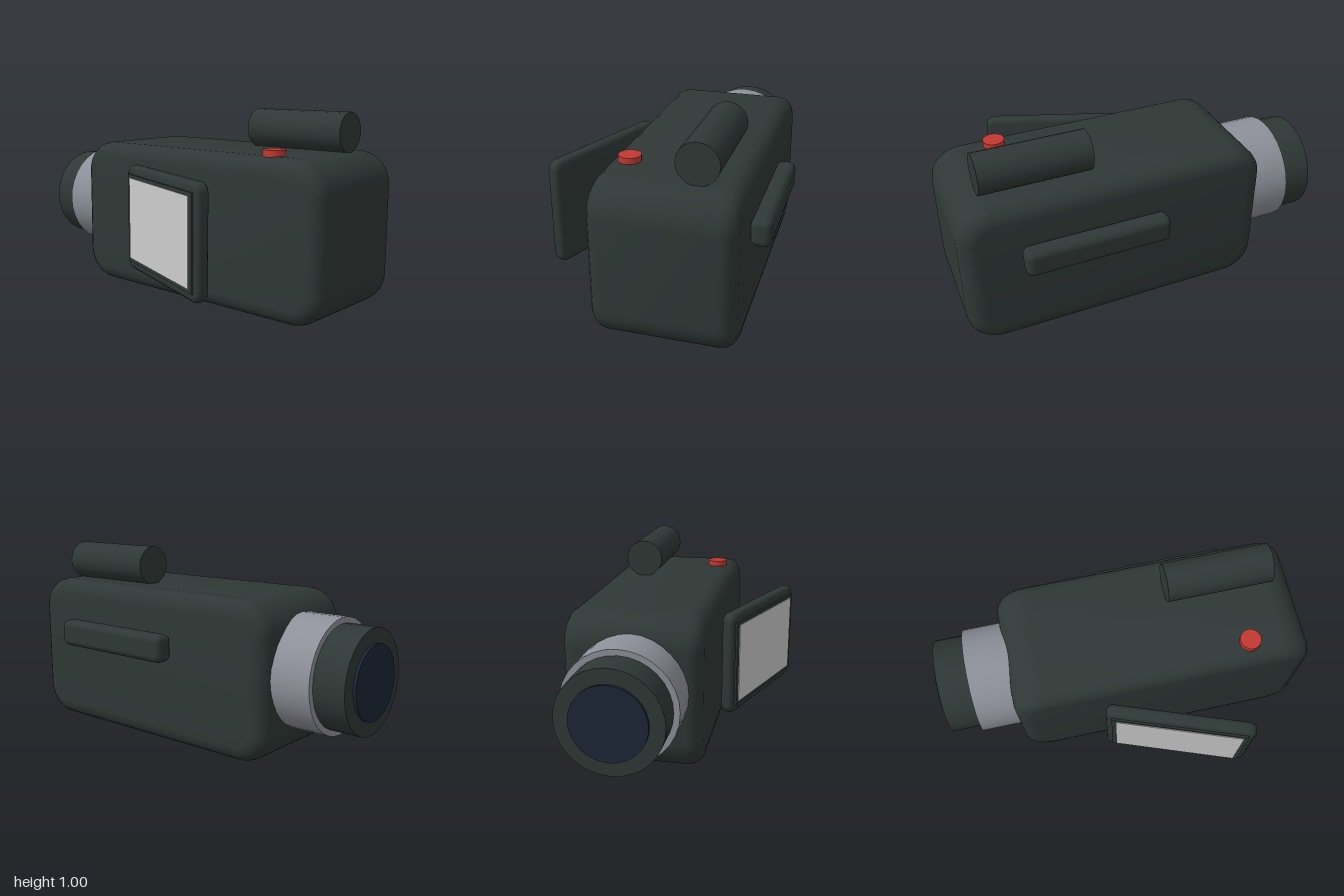
import * as THREE from 'three';
import { toCreasedNormals } from 'three/addons/utils/BufferGeometryUtils.js';
import { RoundedBoxGeometry } from 'three/addons/geometries/RoundedBoxGeometry.js';

const flat = (name, color) => {
  const m = new THREE.MeshStandardMaterial({ color });
  m.name = name;
  return m;
};

// Rounded rectangle w x h extruded along z, with bevelled edges, centred on the origin
function roundedSlab(w, h, d, radius, bevel, segments = 4) {
  const x = w / 2 - bevel, y = h / 2 - bevel, r = radius - bevel;
  const s = new THREE.Shape();
  s.moveTo(-x + r, -y);
  s.lineTo(x - r, -y);
  s.absarc(x - r, -y + r, r, -Math.PI / 2, 0);
  s.lineTo(x, y - r);
  s.absarc(x - r, y - r, r, 0, Math.PI / 2);
  s.lineTo(-x + r, y);
  s.absarc(-x + r, y - r, r, Math.PI / 2, Math.PI);
  s.lineTo(-x, -y + r);
  s.absarc(-x + r, -y + r, r, Math.PI, Math.PI * 1.5);
  const g = new THREE.ExtrudeGeometry(s, {
    depth: d - 2 * bevel, bevelEnabled: true, bevelSize: bevel,
    bevelThickness: bevel, bevelSegments: segments, curveSegments: 8,
  });
  g.translate(0, 0, -(d - 2 * bevel) / 2);
  return toCreasedNormals(g, 0.6);
}

export function createModel() {
  const casing = flat('charcoal casing', 0x2f3836);
  const silver = flat('silver metal', 0x8e919a);
  const glass = flat('dark blue glass', 0x1b2636);
  const display = flat('pale display', 0xcccccc);
  const red = flat('red button', 0xc23a32);

  const model = new THREE.Group();
  model.name = 'camcorder';

  const add = (parent, name, geometry, material, x, y, z) => {
    const mesh = new THREE.Mesh(geometry, material);
    mesh.name = name;
    mesh.position.set(x, y, z);
    parent.add(mesh);
    return mesh;
  };

  // Cylinder lying along x from x0 to x1
  const barrel = (name, material, radius, x0, x1, y, z, sides) => {
    const g = new THREE.CylinderGeometry(radius, radius, x1 - x0, sides).rotateZ(Math.PI / 2);
    return add(model, name, g, material, (x0 + x1) / 2, y, z);
  };

  // Main body
  add(model, 'body', roundedSlab(1.61, 0.8, 0.7, 0.17, 0.08), casing, 0.195, 0.402, -0.13);

  // Lens, stepping down towards the front glass
  barrel('lensRing', silver, 0.29, -0.82, -0.42, 0.43, -0.13, 32);
  barrel('lensBarrel', casing, 0.26, -0.985, -0.8, 0.43, -0.13, 32);
  barrel('lensGlass', glass, 0.186, -1, -0.98, 0.43, -0.13, 32);

  // Viewfinder tube and record button on top
  barrel('viewfinder', casing, 0.103, 0.29, 0.855, 0.9, -0.272, 20);
  add(model, 'recordButton', new THREE.CylinderGeometry(0.056, 0.056, 0.05, 16), red, 0.665, 0.807, 0.105);

  // Grip strap on the back
  add(model, 'handStrap', new RoundedBoxGeometry(0.75, 0.142, 0.1, 3, 0.035), casing, 0.337, 0.522, -0.53);

  // Swung-out screen
  const screen = new THREE.Group();
  screen.name = 'flipScreen';
  screen.position.set(0.231, 0.428, 0.412);
  screen.rotation.y = -THREE.MathUtils.degToRad(20);
  add(screen, 'screenPanel', roundedSlab(0.79, 0.566, 0.07, 0.05, 0.025, 3), casing, 0, 0, 0);
  add(screen, 'screenBezel', new THREE.BoxGeometry(0.72, 0.472, 0.024), casing, 0, 0, 0.033);
  add(screen, 'screenDisplay', new THREE.BoxGeometry(0.672, 0.436, 0.006), display, 0, 0, 0.046);
  model.add(screen);

  return model;
}
